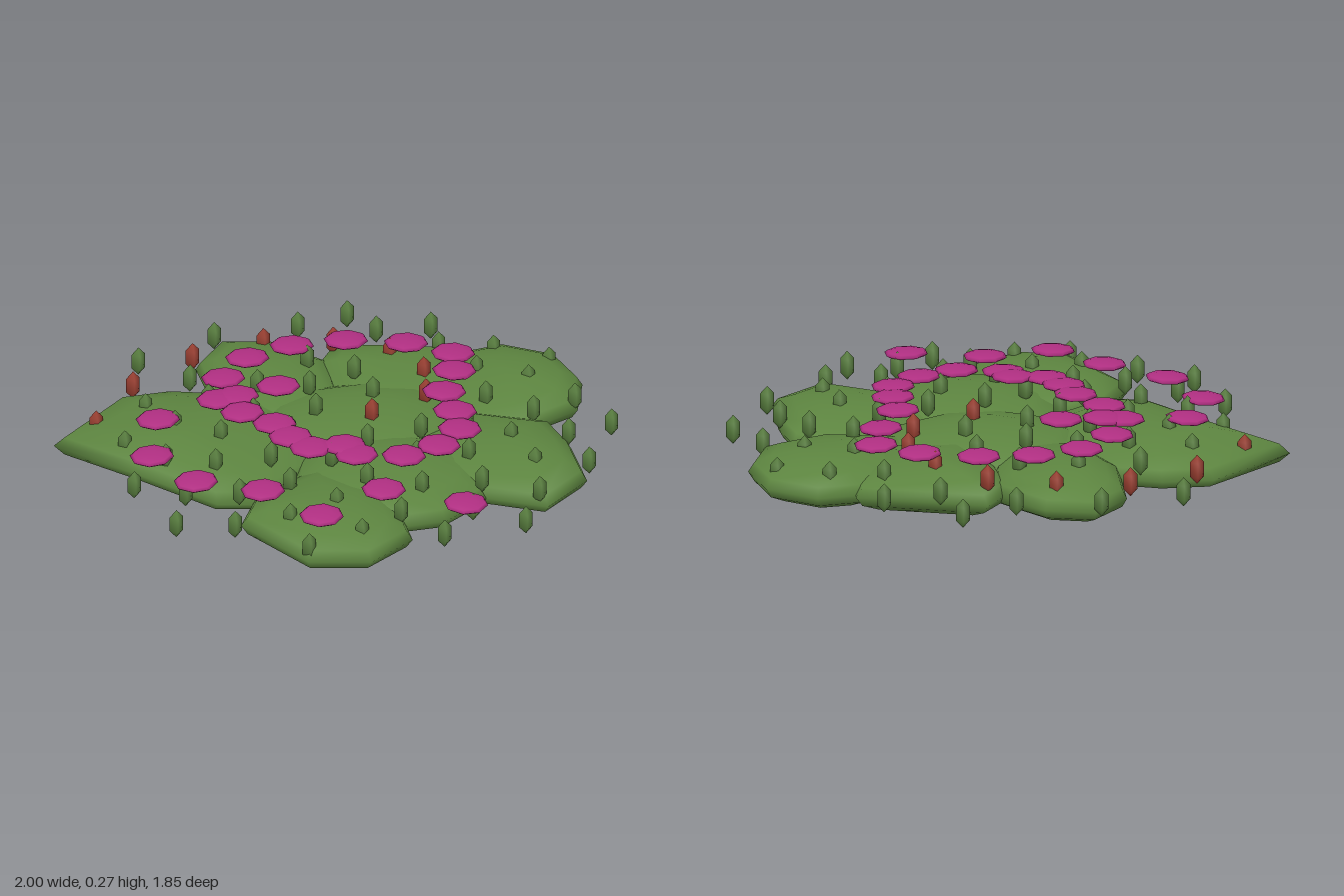
import * as THREE from 'three';

const mat = (name, color) => {
  const m = new THREE.MeshStandardMaterial({ color });
  m.name = name;
  return m;
};

// Outer foliage mounds: plan outline corners as x, z
const MOUNDS = {
  leftMound: [[-1, -.26], [-.69, -.53], [-.5, -.53], [-.1, -.38], [-.1, .15], [-.4, .38], [-.55, .34], [-.78, .02]],
  backMound: [[-.35, -.7], [-.22, -.85], [-.04, -.8], [.13, -.58], [.05, -.1], [-.25, -.12], [-.36, -.42]],
  backRightMound: [[.16, -.72], [.62, -.57], [.6, -.1], [.1, -.05], [.06, -.58]],
  rightMound: [[.6, -.54], [.76, -.56], [.93, -.43], [.97, -.22], [.9, -.03], [.65, .08], [.3, 0], [.35, -.4]],
  frontRightMound: [[.5, -.08], [.77, .07], [.8, .25], [.79, .51], [.6, .67], [.2, .42], [.2, .08]],
  frontLeftMound: [[-.42, .36], [-.15, .2], [.08, .45], [.06, .79], [-.13, .92], [-.35, .86], [-.51, .52]],
};

// Blooms: a closed garland, and a few strays outside it
const GARLAND = [[-.4, -.2], [-.26, .06], [-.18, .27], [.13, .41], [.38, .26], [.4, -.03], [.52, -.35], [.17, -.54], [-.21, -.5]];
const STRAYS = [[-.33, -.2], [-.17, -.22], [-.06, .29], [-.64, -.15], [-.73, .1], [-.63, .34], [-.42, .49], [-.26, .71], [0, .61], [.27, .75]];

// Smooth lens: the outline shrinks in rings towards a top and a bottom point
function moundGeometry(outline) {
  const n = outline.length, y = 0.1, h = 0.09;
  const cx = outline.reduce((s, p) => s + p[0], 0) / n;
  const cz = outline.reduce((s, p) => s + p[1], 0) / n;
  const rings = 7, pos = [], index = [];
  for (let r = 1; r <= rings; r++) {
    const a = (r / (rings + 1)) * Math.PI;
    const s = Math.sin(a), k = Math.cos(a);
    for (const [x, z] of outline) pos.push(cx + (x - cx) * s, y + h * k, cz + (z - cz) * s);
  }
  const top = rings * n, last = top - n;
  pos.push(cx, y + h, cz, cx, y - h, cz);
  for (let i = 0; i < n; i++) {
    const j = (i + 1) % n;
    index.push(top, j, i, top + 1, last + i, last + j);
    for (let r = 0; r < last; r += n) {
      index.push(r + i, r + n + j, r + n + i, r + i, r + j, r + n + j);
    }
  }
  const g = new THREE.BufferGeometry();
  g.setAttribute('position', new THREE.Float32BufferAttribute(pos, 3));
  g.setIndex(index);
  g.computeVertexNormals();
  return g;
}

// Blooms and buds follow a shallow dome
const CENTRE_X = 0.04;
const dome = (x, z, base, fall) => base - fall * ((x - CENTRE_X) ** 2 + z * z);

export function createModel() {
  const model = new THREE.Group();
  model.name = 'flowerBed';
  const leaf = mat('leafGreen', 0x5d8540);
  const budGreen = mat('budGreen', 0x5a8040);
  const budRed = mat('budRed', 0x9c4032);
  const petal = mat('petalMagenta', 0xb02f82);

  const add = (name, geometry, material, x = 0, y = 0, z = 0) => {
    const mesh = new THREE.Mesh(geometry, material);
    mesh.name = name;
    mesh.position.set(x, y, z);
    model.add(mesh);
    return mesh;
  };

  // Foliage: outlined mounds around two rounded ones
  for (const [name, outline] of Object.entries(MOUNDS)) add(name, moundGeometry(outline), leaf);
  const round = new THREE.SphereGeometry(1, 10, 8);
  add('centreMound', round, leaf, 0.1, 0.1, -0.08).scale.set(0.42, 0.1, 0.33);
  add('frontMound', round, leaf, 0.1, 0.1, 0.34).scale.set(0.37, 0.092, 0.36);

  // Flat eight-sided blooms, leaning outwards
  const bloom = new THREE.SphereGeometry(1, 8, 6).rotateY(Math.PI / 8).scale(0.081, 0.016, 0.081);
  const garland = new THREE.CatmullRomCurve3(
    GARLAND.map(([x, z]) => new THREE.Vector3(x, 0, z)), true, 'catmullrom');
  const spots = [...STRAYS];
  for (let i = 0; i < GARLAND.length * 2; i++) {
    const p = garland.getPoint(i / (GARLAND.length * 2));
    spots.push([p.x, p.z]);
  }
  for (const [x, z] of spots) {
    const flower = add('flower', bloom, petal, x, dome(x, z, 0.26, 0.095), z);
    flower.rotation.set(0.08 * z, 0, -0.08 * (x - CENTRE_X));
  }

  // Slim four-sided buds on a golden-angle spiral, every eighth one red
  const bud = new THREE.SphereGeometry(1, 4, 3).scale(0.029, 0.055, 0.029);
  const count = 70, turn = -Math.PI * (3 - Math.sqrt(5));
  for (let i = 0; i < count; i++) {
    const r = 0.96 * Math.sqrt((i + 0.5) / count);
    const x = CENTRE_X + r * Math.cos(turn * i), z = r * Math.sin(turn * i);
    const red = i % 8 === 0;
    add(red ? 'redBud' : 'greenBud', bud, red ? budRed : budGreen, x, dome(x, z, 0.218, 0.09), z);
  }
  return model;
}
